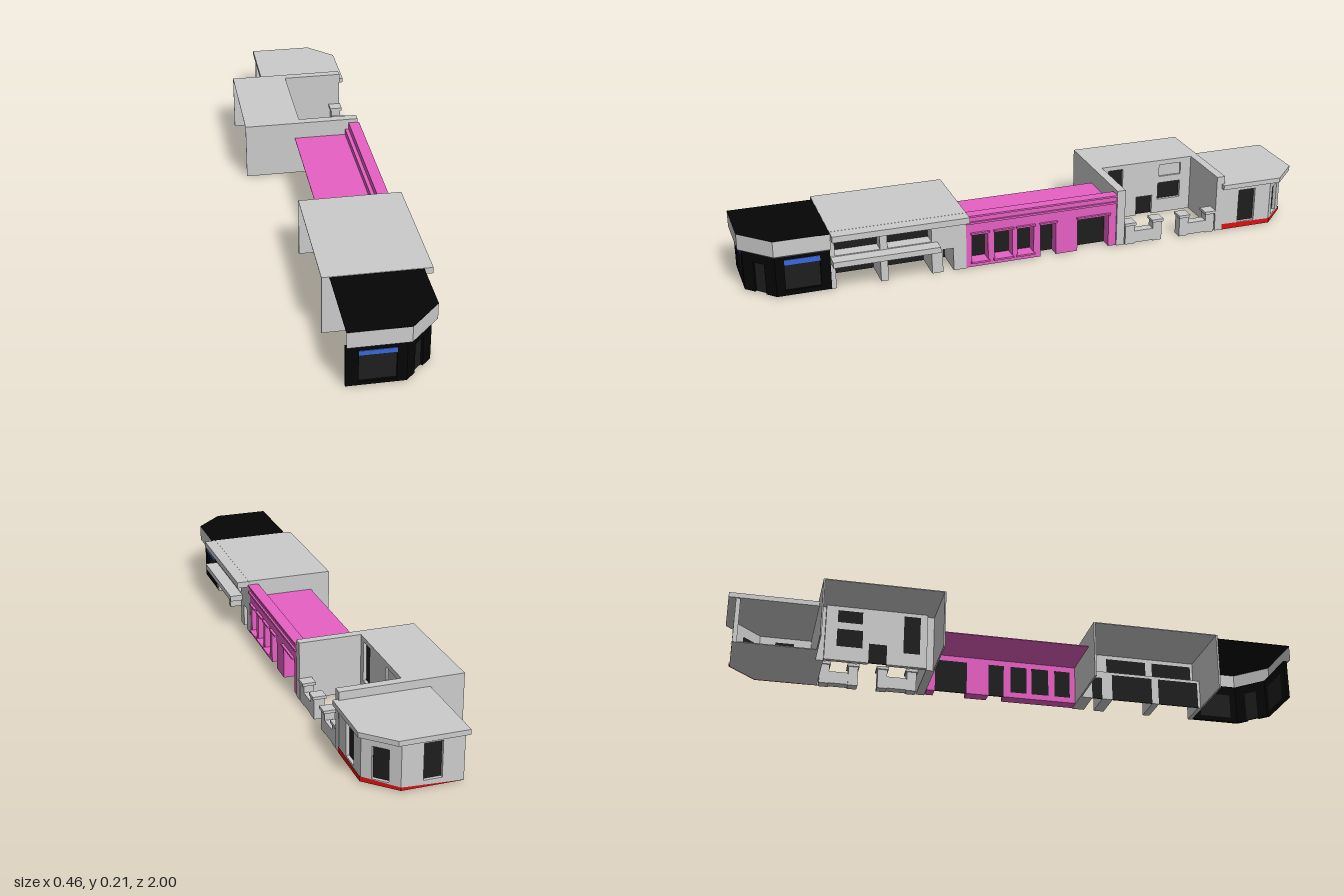
import * as THREE from 'three';

const mat = (color) => new THREE.MeshStandardMaterial({ color, side: THREE.DoubleSide, flatShading: true });
const GREY = mat(0xcccccc), BLACK = mat(0x050505), GLASS = mat(0x1e1e1e);
const PINK = mat(0xe660c4), BLUE = mat(0x3a68d8), RED = mat(0xdd1010);

// Box given by its minimum and maximum on each axis
function box(parent, name, material, x0, x1, y0, y1, z0, z1) {
  const m = new THREE.Mesh(new THREE.BoxGeometry(x1 - x0, y1 - y0, z1 - z0), material);
  m.position.set((x0 + x1) / 2, (y0 + y1) / 2, (z0 + z1) / 2);
  m.name = name;
  parent.add(m);
}

// Horizontal slab from a plan outline of [x, z] points
function slab(parent, name, material, pts, y0, y1) {
  const shape = new THREE.Shape(pts.map(([x, z]) => new THREE.Vector2(x, -z)));
  const g = new THREE.ExtrudeGeometry(shape, { depth: y1 - y0, bevelEnabled: false });
  g.rotateX(-Math.PI / 2);
  const m = new THREE.Mesh(g, material);
  m.position.y = y0;
  m.name = name;
  parent.add(m);
}

// Wall from plan point p to q with recessed panes in openings [u0, u1, y0, y1],
// listed in order along the wall; those reaching the base are cut as open notches
function wall(parent, name, material, p, q, y0, y1, t, openings) {
  const dx = q[0] - p[0], dz = q[1] - p[1], len = Math.hypot(dx, dz);
  const grp = new THREE.Group();
  grp.name = name;
  grp.position.set(p[0], 0, p[1]);
  grp.rotation.y = Math.atan2(-dz, dx);
  const points = (list) => list.map(([x, y]) => new THREE.Vector2(x, y));
  const outline = [[0, y0]], holes = [];
  for (const [a, b, c, d] of openings) {
    if (c <= y0) outline.push([a, y0], [a, d], [b, d], [b, y0]);
    else holes.push(new THREE.Path(points([[a, c], [b, c], [b, d], [a, d]])));
    box(grp, name + 'Pane', GLASS, a, b, c, d, -t, 0.004 - t);
  }
  outline.push([len, y0], [len, y1], [0, y1]);
  const shape = new THREE.Shape(points(outline));
  shape.holes = holes;
  const g = new THREE.ExtrudeGeometry(shape, { depth: t, bevelEnabled: false });
  g.translate(0, 0, -t);
  const m = new THREE.Mesh(g, material);
  m.name = name + 'Surface';
  grp.add(m);
  parent.add(grp);
  return grp;
}

function section(root, name) {
  const g = new THREE.Group();
  g.name = name;
  root.add(g);
  return g;
}

// Ribbon between an upper and a lower polyline of [x, z] points with a height per point
function ribbon(parent, name, material, upper, upperY, lower, lowerY) {
  const pos = [], idx = [];
  upper.forEach(([x, z], i) => pos.push(x, upperY[i], z, lower[i][0], lowerY[i], lower[i][1]));
  for (let i = 0; i < upper.length - 1; i++) idx.push(2 * i, 2 * i + 1, 2 * i + 2, 2 * i + 1, 2 * i + 3, 2 * i + 2);
  const g = new THREE.BufferGeometry();
  g.setAttribute('position', new THREE.Float32BufferAttribute(pos, 3));
  g.setIndex(idx);
  const m = new THREE.Mesh(g.toNonIndexed(), material);
  m.geometry.computeVertexNormals();
  m.name = name;
  parent.add(m);
}

// Black corner shop with chamfered entrance and grey fascia
function cornerShop(root) {
  const s = section(root, 'cornerShop');
  const path = [[-0.095, 0.985], [0.09, 0.985], [0.182, 0.895], [0.182, 0.715]];
  const edge = [[-0.095, 1], [0.1, 1], [0.199, 0.9], [0.199, 0.715]];
  const front = wall(s, 'frontWall', BLACK, path[0], path[1], 0.008, 0.15, 0.012, [[0.04, 0.155, 0.02, 0.115]]);
  box(front, 'blueSign', BLUE, 0.04, 0.155, 0.115, 0.133, -0.002, 0.002);
  wall(s, 'cornerWall', BLACK, path[1], path[2], 0.008, 0.15, 0.012, [[0.042, 0.086, 0.008, 0.115]]);
  const side = wall(s, 'sideWall', BLACK, path[2], path[3], 0.008, 0.15, 0.012, [[0.03, 0.147, 0.025, 0.115]]);
  box(side, 'blueSign', BLUE, 0.03, 0.147, 0.115, 0.135, -0.002, 0.002);
  ribbon(s, 'fascia', GREY, edge, Array(4).fill(0.212), edge, Array(4).fill(0.157));
  ribbon(s, 'fasciaLip', GREY, edge, Array(4).fill(0.157), path, Array(4).fill(0.146));
  slab(s, 'roof', BLACK, [...edge, [-0.095, 0.715]], 0.2105, 0.2125);
}

// Two-storey grey shop with deep bays, an eave and a canopy
function canopyShop(root) {
  const s = section(root, 'canopyShop');
  box(s, 'roof', GREY, -0.12, 0.186, 0.211, 0.214, 0.255, 0.715);
  box(s, 'eave', GREY, 0.184, 0.228, 0.192, 0.2135, 0.255, 0.715);
  for (const z of [0.258, 0.712]) box(s, 'partyWall', GREY, -0.12, 0.18, 0.008, 0.212, z - 0.003, z + 0.003);
  const bays = [0.015, 0.19];
  const p = [0.183, 0.715], q = [0.183, 0.255];
  wall(s, 'lowerWall', GREY, p, q, 0.008, 0.115, 0.113,
    [...bays.map((u) => [u, u + 0.15, 0.008, 0.105]), [0.378, 0.415, 0.008, 0.09]]);
  wall(s, 'upperWall', GREY, p, q, 0.115, 0.212, 0.05, bays.map((u) => [u, u + 0.15, 0.125, 0.197]));
  box(s, 'canopy', GREY, 0.18, 0.228, 0.102, 0.122, 0.355, 0.715);
}

// Pink shop with a row of narrow windows, moulded cornice and parapet
function pinkShop(root) {
  const s = section(root, 'pinkShop');
  box(s, 'roof', PINK, -0.05, 0.16, 0.15, 0.153, -0.288, 0.255);
  const spans = [[0.235, 0.178, 0.03], [0.155, 0.092, 0.03], [0.074, 0.015, 0.03], [-0.01, -0.066, 0.01], [-0.145, -0.26, 0.01]];
  const top = 0.13;
  wall(s, 'streetWall', PINK, [0.182, 0.255], [0.182, -0.288], 0.01, 0.175, 0.045,
    spans.map(([a, b, y]) => [0.255 - a, 0.255 - b, y, top]));
  box(s, 'parapet', PINK, 0.15, 0.183, 0.15, 0.2, -0.288, 0.255);
  box(s, 'cornice', PINK, 0.18, 0.19, 0.17, 0.177, -0.288, 0.255);
  box(s, 'cornice', PINK, 0.18, 0.189, 0.194, 0.2, -0.288, 0.255);
  for (const [a, b, y] of spans) {
    box(s, 'lintel', PINK, 0.178, 0.191, top, top + 0.006, b - 0.004, a + 0.004);
    if (y > 0.02) box(s, 'sill', PINK, 0.178, 0.191, y - 0.006, y, b - 0.004, a + 0.004);
  }
}

// Grey house set back behind a walled forecourt
function courtyardHouse(root) {
  const s = section(root, 'courtyardHouse');
  box(s, 'roof', GREY, -0.23, -0.03, 0.21, 0.213, -0.7, -0.29);
  box(s, 'sideWall', GREY, -0.03, 0.184, 0.008, 0.213, -0.32, -0.29);
  box(s, 'sideWall', GREY, -0.03, 0.184, 0.008, 0.213, -0.7, -0.67);
  box(s, 'partyWall', GREY, -0.23, -0.03, 0.008, 0.212, -0.295, -0.29);
  box(s, 'partyWall', GREY, -0.23, -0.03, 0.008, 0.212, -0.7, -0.695);
  const house = wall(s, 'houseWall', GREY, [-0.03, -0.32], [-0.03, -0.67], 0.008, 0.212, 0.015, [
    [0.025, 0.082, 0.057, 0.197], [0.138, 0.2, 0.008, 0.08], [0.222, 0.31, 0.06, 0.125], [0.225, 0.31, 0.15, 0.195]]);
  box(house, 'upperBlind', GREY, 0.225, 0.31, 0.15, 0.195, -0.01, -0.007);
  // Low street walls with capped piers either side of the gate
  for (const [a, b] of [[-0.445, -0.34], [-0.65, -0.55]]) box(s, 'lowWall', GREY, 0.15, 0.182, 0.008, 0.052, a, b);
  for (const z of [-0.342, -0.446, -0.549, -0.65]) {
    box(s, 'pier', GREY, 0.147, 0.182, 0.005, 0.076, z - 0.017, z + 0.017);
    box(s, 'pierCap', GREY, 0.142, 0.187, 0.076, 0.086, z - 0.021, z + 0.021);
  }
}

// Lower grey shop with chamfered corner, tapering red plinth and floor
function endShop(root) {
  const s = section(root, 'endShop');
  const path = [[0.182, -0.698], [0.182, -0.885], [0.09, -0.975], [-0.11, -0.975]];
  const foot = [[0.185, -0.698], [0.185, -0.886], [0.091, -0.978], [-0.11, -0.978]];
  const windows = [[0.062, 0.127, 0.028, 0.15], [0.035, 0.09, 0.024, 0.132], [0.07, 0.13, 0.028, 0.15]];
  windows.forEach((w, i) => wall(s, 'wall', GREY, path[i], path[i + 1], 0.008, 0.175, 0.015, [w]));
  ribbon(s, 'plinth', RED, foot, [0.029, 0.025, 0.019, 0.009], foot, Array(4).fill(0.008));
  slab(s, 'floor', GREY, [...path, [-0.11, -0.698]], 0.008, 0.011);
  slab(s, 'roof', GREY, [[0.201, -0.69], [0.201, -0.91], [0.11, -1], [-0.115, -1], [-0.115, -0.69]], 0.168, 0.185);
}

export function createModel() {
  const root = new THREE.Group();
  root.name = 'shopRow';
  [cornerShop, canopyShop, pinkShop, courtyardHouse, endShop].forEach((build) => build(root));
  return root;
}
